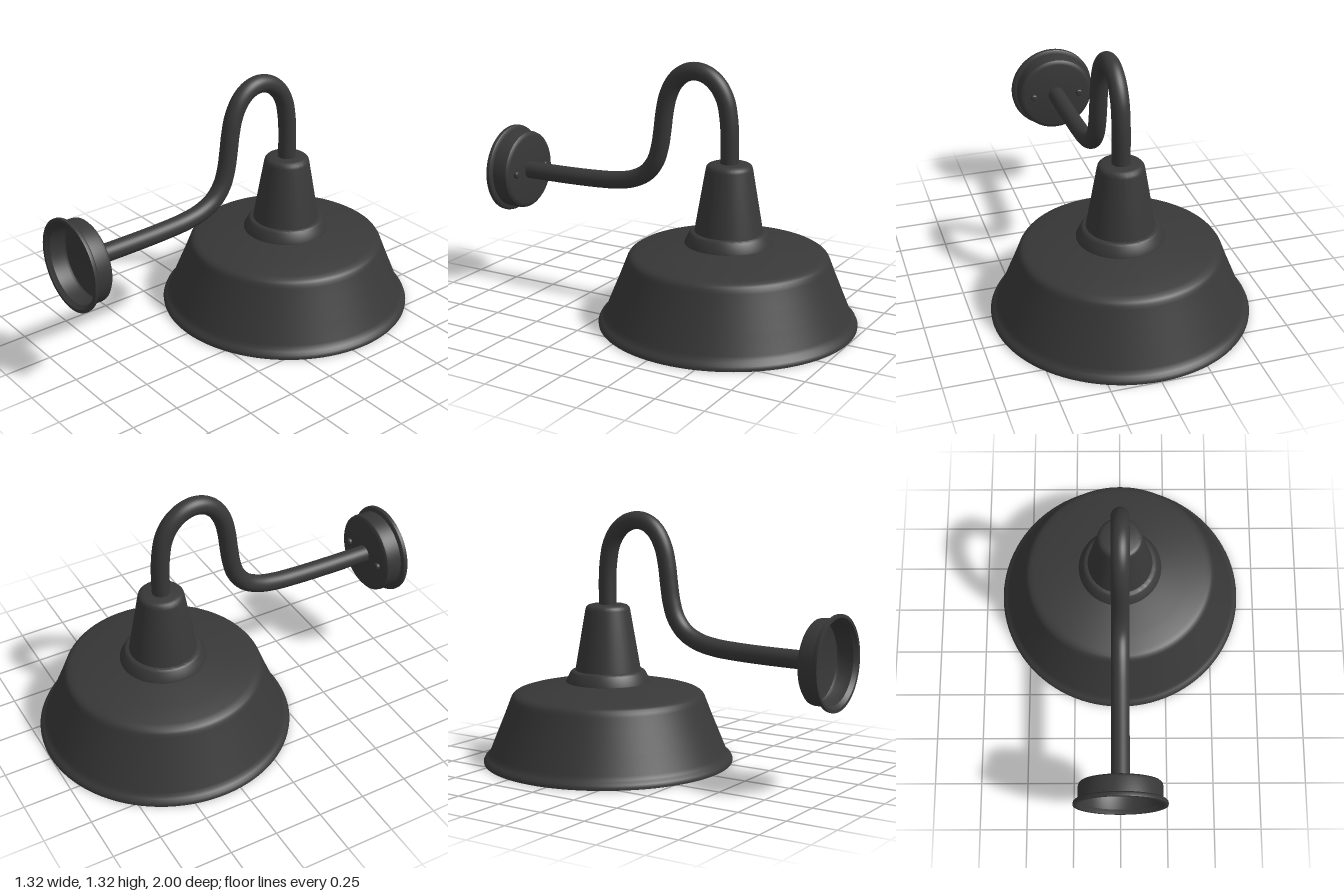
import * as THREE from 'three';
import { toCreasedNormals } from 'three/addons/utils/BufferGeometryUtils.js';

const AXIS_Z = -0.34; // vertical axis of the shade
const ARM_Y = 0.64; // height of the wall plate centre

const metal = new THREE.MeshStandardMaterial({ color: 0x383838 });
const enamel = new THREE.MeshStandardMaterial({ color: 0xe8dcc0, side: THREE.DoubleSide });
const glass = new THREE.MeshStandardMaterial({ color: 0xe8e8e8 });

// Revolved part from [radius, height] pairs, with crisp edges kept
function lathe(name, points, material, segments = 96) {
  const profile = points.map(([r, h]) => new THREE.Vector2(r, h));
  const geometry = toCreasedNormals(new THREE.LatheGeometry(profile, segments), 0.6);
  const mesh = new THREE.Mesh(geometry, material);
  mesh.name = name;
  return mesh;
}

export function createModel() {
  const model = new THREE.Group();
  model.name = 'wallLamp';

  // Everything that turns around the vertical axis
  const head = new THREE.Group();
  head.name = 'lampHead';
  head.position.z = AXIS_Z;
  model.add(head);

  // Outer shell with rolled rim, sloping wall and shallow shoulder
  head.add(lathe('shadeOuter', [
    [0.648, 0.004], [0.652, 0], [0.66, 0.002], [0.661, 0.012], [0.655, 0.025], [0.642, 0.036],
    [0.632, 0.046], [0.624, 0.064], [0.585, 0.16], [0.548, 0.25], [0.517, 0.33], [0.511, 0.346],
    [0.502, 0.359], [0.488, 0.368], [0.465, 0.375], [0.38, 0.394], [0.22, 0.424], [0.17, 0.43],
  ], metal));

  // Light enamel lining, opening into the collar
  head.add(lathe('shadeLining', [
    [0.17, 0.465], [0.19, 0.46], [0.208, 0.412], [0.38, 0.382], [0.465, 0.363], [0.488, 0.355],
    [0.5, 0.342], [0.506, 0.327], [0.537, 0.25], [0.574, 0.16], [0.613, 0.064], [0.622, 0.043],
    [0.635, 0.029], [0.645, 0.018], [0.648, 0.004],
  ], enamel));

  // Stepped collar and tapered socket housing
  head.add(lathe('collar', [
    [0.223, 0.42], [0.222, 0.428], [0.198, 0.474], [0.192, 0.481], [0.184, 0.485], [0.16, 0.486],
  ], metal));
  head.add(lathe('socketHousing', [
    [0.174, 0.48], [0.17, 0.5], [0.118, 0.803], [0.114, 0.818], [0.105, 0.827], [0.09, 0.832], [0, 0.834],
  ], metal));
  head.add(lathe('socketBase', [
    [0, 0.42], [0.08, 0.42], [0.085, 0.46], [0.18, 0.465], [0.18, 0.48],
  ], enamel, 48));

  // Pear-shaped bulb
  const bulb = [[0, 0.005]];
  for (let i = 1; i <= 12; i++) {
    const a = -Math.PI / 2 + (i / 12) * 1.75;
    bulb.push([0.124 * Math.cos(a), 0.129 + 0.124 * Math.sin(a)]);
  }
  bulb.push([0.116, 0.2], [0.102, 0.28], [0.086, 0.36], [0.074, 0.42], [0.07, 0.46]);
  head.add(lathe('bulb', bulb, glass, 48));

  // Gooseneck arm, given as [z, y] along its centre line
  const path = [
    [0.9, 0.64], [0.75, 0.641], [0.6, 0.643], [0.45, 0.648], [0.32, 0.658], [0.22, 0.68],
    [0.14, 0.723], [0.087, 0.79], [0.06, 0.87], [0.045, 0.96], [0.033, 1.05], [0.012, 1.14],
    [-0.03, 1.218], [-0.085, 1.263], [-0.147, 1.278], [-0.215, 1.262], [-0.275, 1.215],
    [-0.315, 1.145], [-0.333, 1.06], [AXIS_Z, 0.97], [AXIS_Z, 0.82],
  ].map(([z, y]) => new THREE.Vector3(0, y, z));
  const arm = new THREE.Mesh(
    new THREE.TubeGeometry(new THREE.CatmullRomCurve3(path), 140, 0.046, 28), metal);
  arm.name = 'gooseneckArm';
  model.add(arm);

  // Hollow wall plate, open toward the wall
  const plate = lathe('wallPlate', [
    [0, 0.882], [0.185, 0.882], [0.198, 0.885], [0.207, 0.893], [0.21, 0.906], [0.21, 0.974],
    [0.226, 0.976], [0.233, 0.982], [0.235, 0.99], [0.234, 1], [0.218, 1], [0.211, 0.99],
    [0.202, 0.98], [0.2, 0.91], [0.193, 0.897], [0.18, 0.893], [0, 0.893],
  ], metal);
  plate.rotation.x = Math.PI / 2;
  plate.position.y = ARM_Y;
  model.add(plate);

  // Fixing screws either side of the arm
  for (const side of [-1, 1]) {
    const screw = lathe(side > 0 ? 'screwLeft' : 'screwRight', [
      [0, 0.862], [0.013, 0.863], [0.018, 0.869], [0.018, 0.885],
    ], metal, 20);
    screw.rotation.x = Math.PI / 2;
    screw.position.set(side * 0.132, ARM_Y, 0);
    model.add(screw);
  }

  return model;
}
